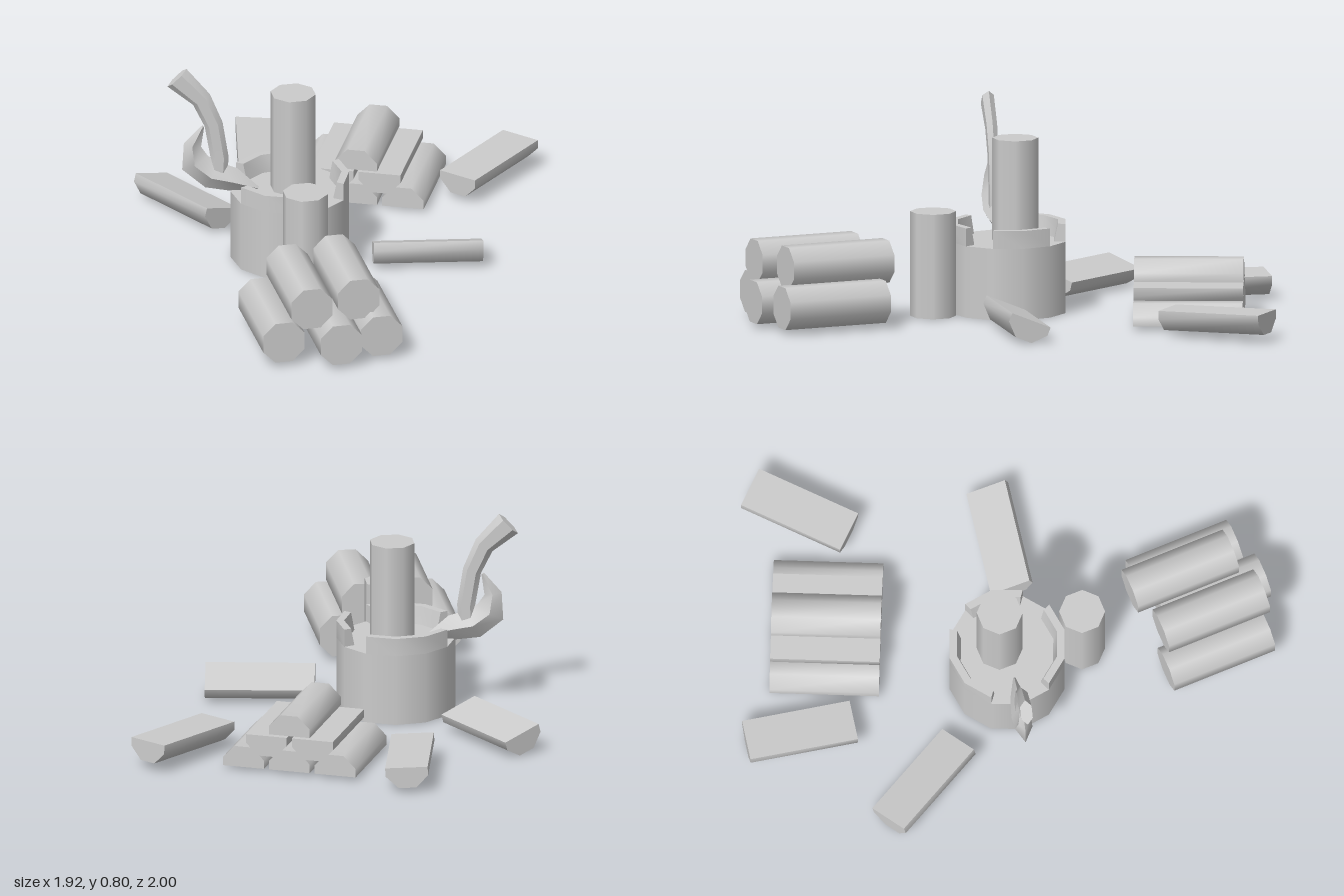
import * as THREE from 'three';
import { toCreasedNormals } from 'three/addons/utils/BufferGeometryUtils.js';

const LEN = 0.424, R = 0.089, A = 0.0825;
const wood = new THREE.MeshStandardMaterial({ color: 0xcccccc });
const thin = new THREE.MeshStandardMaterial({ color: 0xcccccc, side: THREE.DoubleSide });

function add(parent, name, geo, pos = [0, 0, 0], rot = [0, 0, 0], mat = wood) {
  const m = new THREE.Mesh(geo, mat);
  m.name = name;
  m.position.set(...pos);
  m.rotation.set(rot[0], rot[1], rot[2], 'YXZ');
  parent.add(m);
  return m;
}

function subgroup(parent, name) {
  const g = new THREE.Group();
  g.name = name;
  parent.add(g);
  return g;
}

// Lofts an n-sided section along a path of [x, y, halfWidth, halfThickness]
function loft(rows, sides) {
  const pos = [], idx = [];
  rows.forEach(([x, y, w, t], i) => {
    const a = rows[Math.max(i - 1, 0)], b = rows[Math.min(i + 1, rows.length - 1)];
    const dir = new THREE.Vector2(b[0] - a[0], b[1] - a[1]).normalize();
    for (let j = 0; j < sides; j++) {
      const th = (j / sides) * Math.PI * 2;
      const c = Math.cos(th) * w;
      pos.push(x + dir.y * c, y - dir.x * c, Math.sin(th) * t);
    }
  });
  for (let i = 0; i < rows.length - 1; i++) {
    for (let j = 0; j < sides; j++) {
      const k = (j + 1) % sides, p = i * sides, q = p + sides;
      idx.push(p + j, q + j, p + k, p + k, q + j, q + k);
    }
  }
  const last = (rows.length - 1) * sides;
  for (let j = 1; j < sides - 1; j++) {
    idx.push(0, j, j + 1, last, last + j + 1, last + j);
  }
  const g = new THREE.BufferGeometry();
  g.setAttribute('position', new THREE.Float32BufferAttribute(pos, 3));
  g.setIndex(idx);
  return toCreasedNormals(g, 0.6);
}

// Half of an octagonal log, flat side down, lying along z
function halfLogGeometry() {
  const h = A * Math.tan(Math.PI / 8);
  const s = new THREE.Shape([[-A, 0], [A, 0], [A, h], [h, A], [-h, A], [-A, h]]
    .map(([x, y]) => new THREE.Vector2(x, y)));
  const g = new THREE.ExtrudeGeometry(s, { depth: LEN, bevelEnabled: false });
  g.translate(0, 0, -LEN / 2);
  return toCreasedNormals(g, 0.9);
}

export function createModel() {
  const model = new THREE.Group();
  model.name = 'woodChoppingSet';

  // Chopping block with a broken raised bark rim
  const block = subgroup(model, 'choppingBlock');
  block.position.set(-0.29, 0, -0.025);
  add(block, 'stump', new THREE.CylinderGeometry(0.23, 0.23, 0.28, 12), [0, 0.14, 0]);
  const rim = [[0.23, 0.28], [0.23, 0.35], [0.2, 0.35], [0.185, 0.28]]
    .map(([x, y]) => new THREE.Vector2(x, y));
  for (const [from, to] of [[120, 210], [30, 90], [-90, 0]]) {
    const a = THREE.MathUtils.degToRad(from), b = THREE.MathUtils.degToRad(to);
    const lathe = new THREE.LatheGeometry(rim, (to - from) / 30, a, b - a);
    add(block, 'barkRim', toCreasedNormals(lathe, 0.8), [0, 0, 0], [0, 0, 0], thin);
    for (const phi of [a, b]) {
      add(block, 'barkRimEnd', new THREE.ShapeGeometry(new THREE.Shape(rim)),
        [0, 0, 0], [0, phi - Math.PI / 2, 0], thin);
    }
  }

  // Upright logs
  add(model, 'logOnBlock', new THREE.CylinderGeometry(R, R, 0.4, 8), [-0.265, 0.48, -0.04]);
  add(model, 'standingLog', new THREE.CylinderGeometry(R, R, 0.41, 8), [-0.415, 0.205, 0.26]);

  // Stack of whole logs
  const stack = subgroup(model, 'logStack');
  const logGeo = new THREE.CylinderGeometry(R, R, LEN, 8);
  logGeo.rotateY(Math.PI / 8).rotateX(Math.PI / 2);
  const logs = [[-0.81, 0.1, 0.6], [-0.64, 0.1, 0.745], [-0.465, 0.1, 0.765],
    [-0.72, 0.242, 0.66], [-0.52, 0.242, 0.69]];
  for (const p of logs) add(stack, 'log', logGeo, p, [0, Math.atan2(-29.5, 74.5), 0]);

  // Stack of split logs: three round side up, two flat side up, one on top
  const half = halfLogGeometry();
  const split = subgroup(model, 'splitLogStack');
  split.position.set(0.33, 0, -0.395);
  split.rotation.y = Math.atan2(-58, 55);
  for (const x of [-0.185, 0, 0.185]) add(split, 'lowerSplitLog', half, [x, 0.012, 0]);
  for (const x of [-0.093, 0.093]) {
    add(split, 'middleSplitLog', half, [x, 0.147, 0], [0, 0, Math.PI]);
  }
  add(split, 'topSplitLog', half, [0, 0.155, 0]);

  // Loose split logs, flat side up: x, y, z, yaw, roll, pitch
  const loose = [
    [0.085, 0.1, -0.78, Math.atan2(44, -67), 0.06, 0],
    [-0.39, 0.09, -0.58, 0.1, -0.28, 0],
    [0.73, 0.11, -0.145, Math.atan2(76, -28), 0, -0.025],
    [0.115, 0.088, 0.325, Math.atan2(68, 42), -0.39, 0],
  ];
  for (const [x, y, z, yaw, roll, pitch] of loose) {
    add(model, 'looseSplitLog', half, [x, y, z], [pitch, yaw, Math.PI + roll, ]);
  }

  // Axe with a crescent head and a curved handle
  const axe = subgroup(model, 'axe');
  axe.position.set(-0.52, 0, -0.18);
  axe.rotation.y = -0.63;
  add(axe, 'axeHandle', loft([
    [0, 0.33, 0.035, 0.022], [0.005, 0.42, 0.035, 0.022], [-0.018, 0.56, 0.036, 0.022],
    [-0.065, 0.665, 0.04, 0.024], [-0.16, 0.757, 0.053, 0.026]], 6), [0, 0, 0], [0, 0, 0], thin);
  add(axe, 'axeHead', loft([
    [-0.06, 0.55, 0.006, 0.008], [-0.1, 0.47, 0.034, 0.022], [-0.09, 0.395, 0.058, 0.034],
    [-0.025, 0.345, 0.06, 0.038], [0.06, 0.325, 0.05, 0.03], [0.155, 0.29, 0.006, 0.005]], 4),
    [0, 0, 0], [0, 0, 0], thin);

  return model;
}
